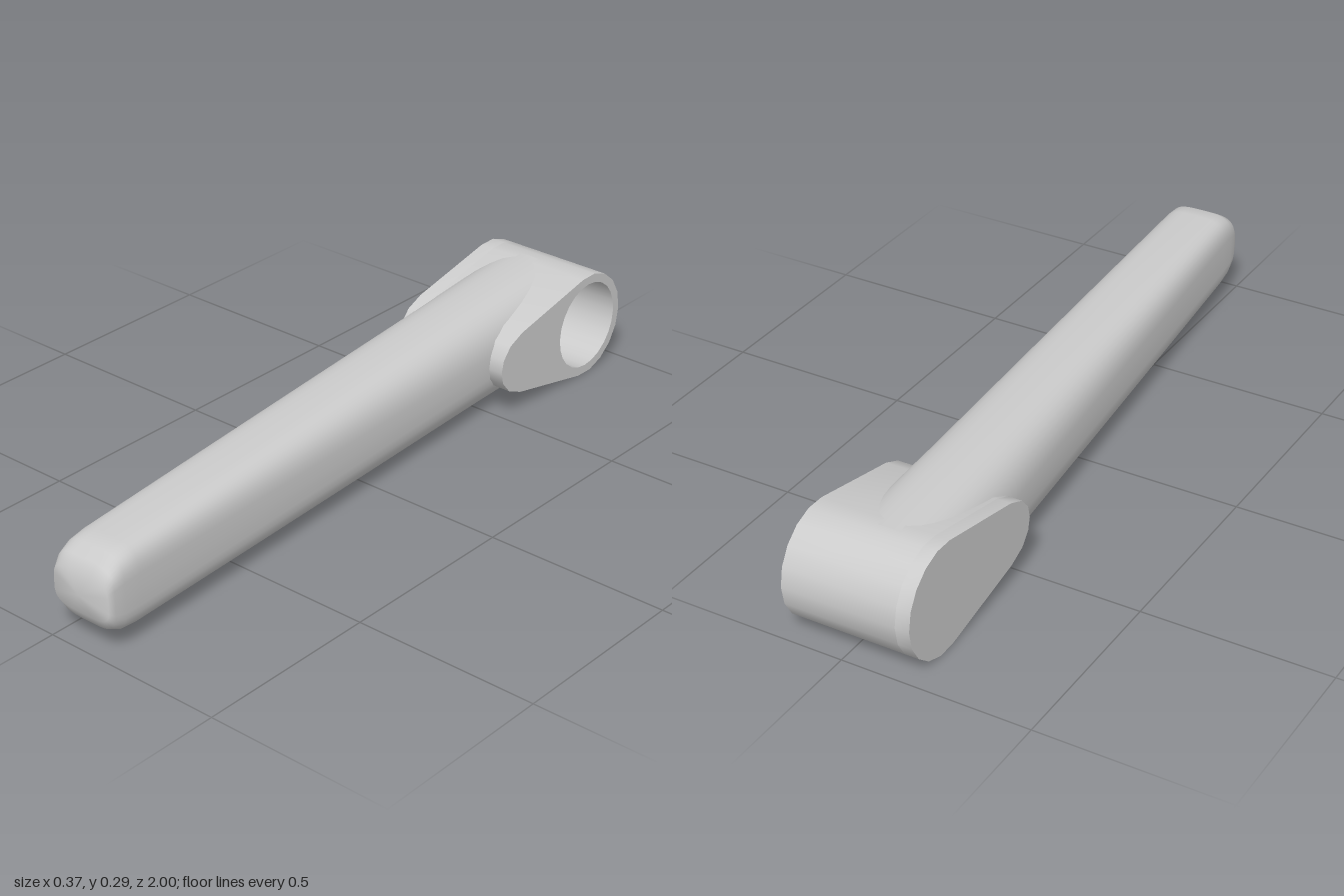
import * as THREE from 'three';
import { toCreasedNormals } from 'three/addons/utils/BufferGeometryUtils.js';

const CY = 0.147;      // height of the centre line
const HUB_Z = -0.853;  // hub axis
const HUB_R = 0.147;
const BORE_R = 0.122;
const material = new THREE.MeshStandardMaterial({ color: 0xcccccc });

// Teardrop outline of the hub, drawn with u = -z and v = y
function hubShape() {
  const pts = [];
  const sweep = THREE.MathUtils.degToRad(101);
  for (let i = 0; i <= 10; i++) {
    const a = -sweep + (2 * sweep * i) / 10;
    pts.push(new THREE.Vector2(-HUB_Z + HUB_R * Math.cos(a), CY + HUB_R * Math.sin(a)));
  }
  const nose = [[0.56, 0.088], [0.51, 0.066], [0.483, 0.034], [0.475, 0]];
  for (const [u, h] of nose) pts.push(new THREE.Vector2(u, CY + h));
  for (const [u, h] of nose.slice(0, 3).reverse()) pts.push(new THREE.Vector2(u, CY - h));
  return new THREE.Shape(pts);
}

// Extrude a (u, v) shape along x between two positions
function extrudeX(shape, x0, x1, name) {
  const geo = new THREE.ExtrudeGeometry(shape, { depth: x1 - x0, bevelEnabled: false, curveSegments: 12 });
  geo.rotateY(Math.PI / 2).translate(x0, 0, 0);
  const mesh = new THREE.Mesh(toCreasedNormals(geo, 0.75), material);
  mesh.name = name;
  return mesh;
}

// Tapered handle: rounded sections lofted along z, with a blunt rounded tip
function handleGeometry() {
  const N = 40;
  const rows = [[null, 1, 1], [-0.47, 1, 1], [0, 1, 1], [0.45, 1, 1], [0.89, 1, 1],
    [0.94, 1, 0.94], [0.972, 0.98, 0.78], [0.99, 0.93, 0.5]];
  const pos = [], index = [];
  const lerp = THREE.MathUtils.lerp;
  const power = (v, e) => Math.sign(v) * Math.pow(Math.abs(v), e);
  rows.forEach(([rowZ, sx, sy]) => {
    for (let j = 0; j < N; j++) {
      const a = (j / N) * Math.PI * 2;
      const zGuess = rowZ === null ? -0.78 : rowZ;
      const k = (zGuess + 0.47) / 1.42;
      const e = lerp(0.78, 0.5, Math.min(1, Math.max(0, k)));
      const h = lerp(0.139, 0.107, k) * sy;
      const y = h * power(Math.sin(a), e);
      // the root stops inside the hub wall, leaving the bore clear
      const z = rowZ === null ? HUB_Z + Math.sqrt(Math.max(0, 0.133 ** 2 - y * y)) : rowZ;
      const kz = (z + 0.47) / 1.42;
      const x = lerp(-0.016, 0.09, kz) + lerp(0.132, 0.095, kz) * sx * power(Math.cos(a), e);
      pos.push(x, CY + y, z);
    }
  });
  for (let i = 0; i < rows.length - 1; i++) {
    for (let j = 0; j < N; j++) {
      const a = i * N + j, b = i * N + ((j + 1) % N);
      index.push(a, b, b + N, a, b + N, a + N);
    }
  }
  // close the tip
  const last = (rows.length - 1) * N;
  pos.push(0.092, CY, 1);
  for (let j = 0; j < N; j++) index.push(last + j, last + ((j + 1) % N), rows.length * N);
  const geo = new THREE.BufferGeometry();
  geo.setAttribute('position', new THREE.Float32BufferAttribute(pos, 3));
  geo.setIndex(index);
  geo.computeVertexNormals();
  return geo;
}

export function createModel() {
  const model = new THREE.Group();
  model.name = 'leverHandle';

  // Hub with a blind bore opening on the +x side
  const bored = hubShape();
  bored.holes.push(new THREE.Path().absarc(-HUB_Z, CY, BORE_R, 0, Math.PI * 2, true));
  const hub = new THREE.Group();
  hub.name = 'hub';
  hub.add(extrudeX(bored, -0.15, 0.157, 'hubBody'));
  hub.add(extrudeX(hubShape(), -0.188, -0.15, 'hubClosedEnd'));
  model.add(hub);

  const handle = new THREE.Mesh(handleGeometry(), material);
  handle.name = 'handle';
  model.add(handle);
  return model;
}
